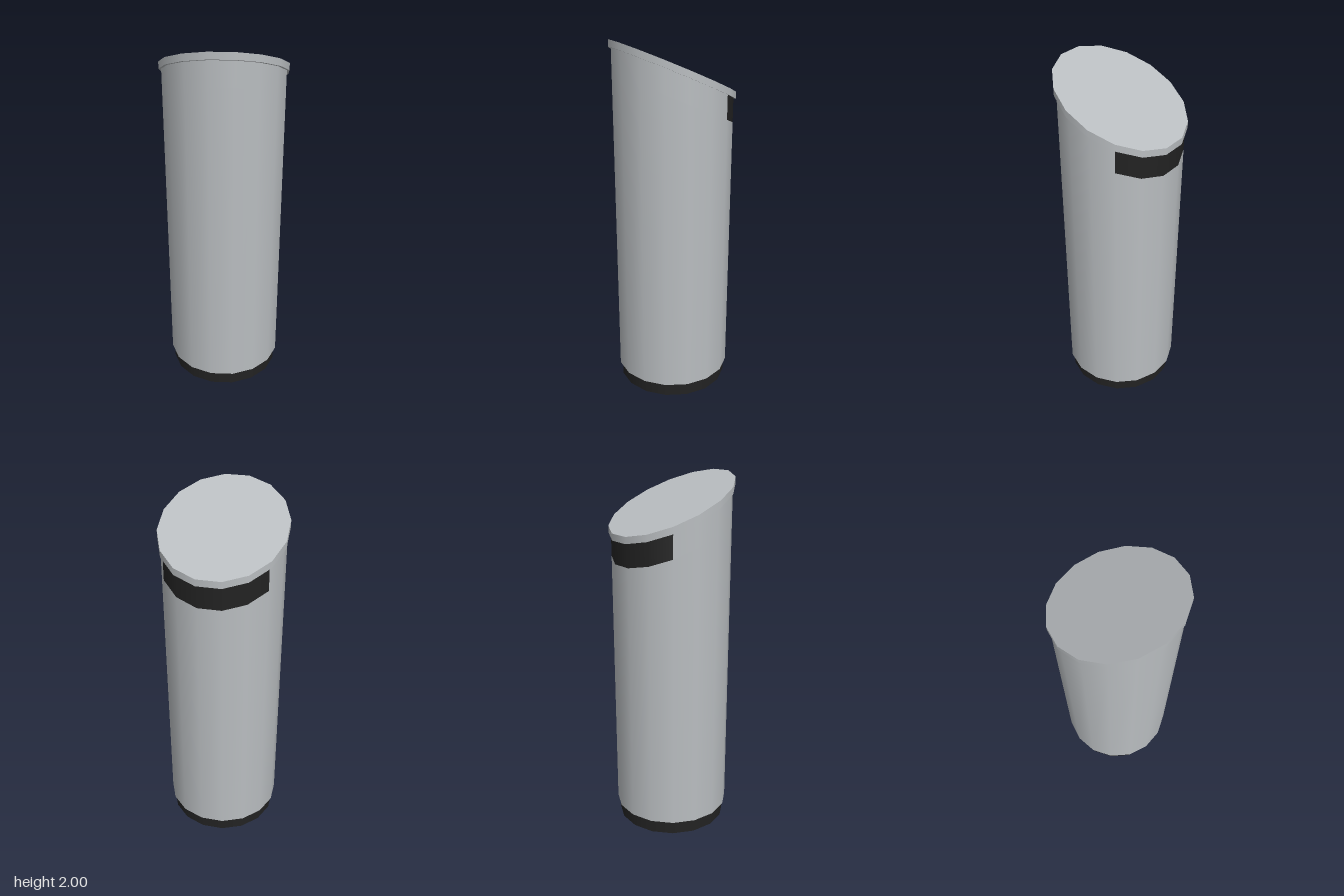
import * as THREE from 'three';

const SIDES = 16;
const STEP = (Math.PI * 2) / SIDES;
const SLOPE = 0.45; // rise of the slanted top towards +z
const LID_TOP = 1.85, LID_BOTTOM = 1.813, BAND_BOTTOM = 1.681; // heights at z = 0

// Prism with flat sides facing the axes; each end is level or slanted along z.
function prism(apothem, bottom, top, { first = 0, count = SIDES, open = false } = {}) {
  const r = apothem / Math.cos(STEP / 2);
  const g = new THREE.CylinderGeometry(r, r, 1, count, 1, open, STEP * (first + 0.5), STEP * count);
  const p = g.attributes.position, n = g.attributes.normal;
  for (let i = 0; i < p.count; i++) {
    const end = p.getY(i) > 0 ? top : bottom;
    p.setY(i, end.y + end.slope * p.getZ(i));
    const ny = n.getY(i);
    if (Math.abs(ny) > 0.5) {
      const v = new THREE.Vector3(0, 1, -end.slope).normalize().multiplyScalar(Math.sign(ny));
      n.setXYZ(i, v.x, v.y, v.z);
    }
  }
  return g;
}

const level = (y) => ({ y, slope: 0 });
const slanted = (y) => ({ y, slope: SLOPE });

export function createModel() {
  const grey = new THREE.MeshStandardMaterial({ color: 0xb9bdc0 });
  grey.name = 'light grey metal';
  const black = new THREE.MeshStandardMaterial({ color: 0x222222 });
  black.name = 'black plastic';

  const group = new THREE.Group();
  group.name = 'slantedBin';
  const add = (name, geometry, material) => {
    const mesh = new THREE.Mesh(geometry, material);
    mesh.name = name;
    group.add(mesh);
  };

  // Recessed foot
  add('base', prism(0.306, level(0), level(0.078)), black);
  // Main body up to the lower edge of the band
  add('body', prism(0.32, level(0.078), slanted(BAND_BOTTOM)), grey);
  // Collar under the lid: grey around the front and sides, black band at the back
  const collar = (first, count) =>
    prism(0.32, slanted(BAND_BOTTOM), slanted(LID_BOTTOM), { first, count, open: true });
  add('collar', collar(10, 11), grey);
  add('backBand', collar(5, 5), black);
  // Slanted lid with a small overhang
  add('lid', prism(0.333, slanted(LID_BOTTOM), slanted(LID_TOP)), grey);

  return group;
}
